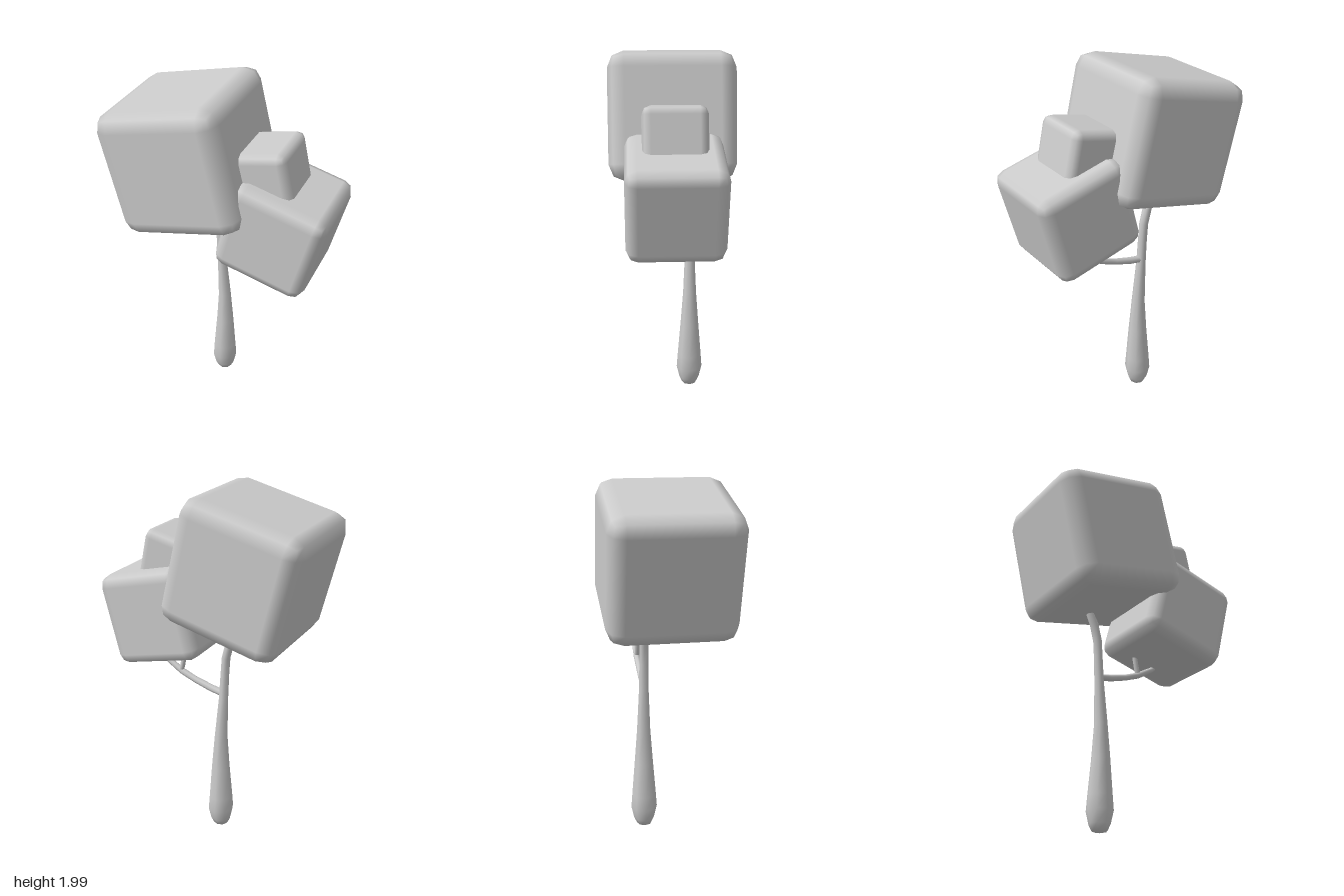
import * as THREE from 'three';
import { RoundedBoxGeometry } from 'three/addons/geometries/RoundedBoxGeometry.js';

// Tapered limb through [x, y, radius] stations, lying in one z plane
function limb(stations, sides = 8) {
  const pos = [], index = [];
  stations.forEach(([x, y, r], i) => {
    const p = stations[Math.max(i - 1, 0)];
    const q = stations[Math.min(i + 1, stations.length - 1)];
    const t = new THREE.Vector2(q[0] - p[0], q[1] - p[1]).normalize();
    for (let j = 0; j < sides; j++) {
      const a = (j / sides) * Math.PI * 2;
      pos.push(x + r * Math.cos(a) * t.y, y - r * Math.cos(a) * t.x, r * Math.sin(a));
      if (i < stations.length - 1) {
        const a0 = i * sides + j, c0 = i * sides + (j + 1) % sides;
        index.push(a0, a0 + sides, c0, c0, a0 + sides, c0 + sides);
      }
    }
  });
  const geo = new THREE.BufferGeometry();
  geo.setAttribute('position', new THREE.Float32BufferAttribute(pos, 3));
  geo.setIndex(index);
  geo.computeVertexNormals();
  return geo;
}

export function createModel() {
  const model = new THREE.Group();
  model.name = 'blockTree';
  const grey = new THREE.MeshStandardMaterial({ color: 0xcccccc });
  grey.name = 'light grey';

  const add = (name, geo, x = 0, y = 0, z = 0, tilt = 0) => {
    const mesh = new THREE.Mesh(geo, grey);
    mesh.name = name;
    mesh.position.set(x, y, z);
    mesh.rotation.z = THREE.MathUtils.degToRad(tilt);
    model.add(mesh);
  };

  // Trunk and branches
  const trunkZ = -0.106;
  add('trunk', limb([
    [-0.08, 0.005, 0.001], [-0.08, 0.015, 0.042], [-0.08, 0.05, 0.059], [-0.08, 0.12, 0.075],
    [-0.08, 0.2, 0.069], [-0.078, 0.4, 0.053], [-0.08, 0.6, 0.038], [-0.095, 0.85, 0.027],
    [-0.103, 1.0, 0.025], [-0.11, 1.1, 0.025], [-0.135, 1.2, 0.025], [-0.18, 1.29, 0.02],
    [-0.181, 1.292, 0.001],
  ]), 0, 0, trunkZ);
  add('branch', limb([
    [-0.11, 0.875, 0.02], [-0.02, 0.892, 0.02], [0.08, 0.92, 0.018],
    [0.17, 0.955, 0.018], [0.27, 1.015, 0.015], [0.34, 1.07, 0.012], [0.341, 1.071, 0.001],
  ]), 0, 0, trunkZ);
  add('twig', limb([
    [0.18, 0.95, 0.014], [0.168, 0.985, 0.015], [0.155, 1.05, 0.014], [0.14, 1.12, 0.012],
    [0.1398, 1.121, 0.001],
  ]), 0, 0, trunkZ);

  // Bevelled leaf blocks: name, size, bevel, centre x, centre y, tilt
  for (const [name, size, bevel, x, y, tilt] of [
    ['largeLeafBlock', 0.692, 0.09, -0.215, 1.6, 13.5],
    ['mediumLeafBlock', 0.52, 0.065, 0.31, 1.287, -14.5],
    ['smallLeafBlock', 0.338, 0.045, 0.224, 1.57, 12.5],
  ]) add(name, new RoundedBoxGeometry(size, size, size, 1, bevel), x, y, 0, tilt);

  return model;
}
